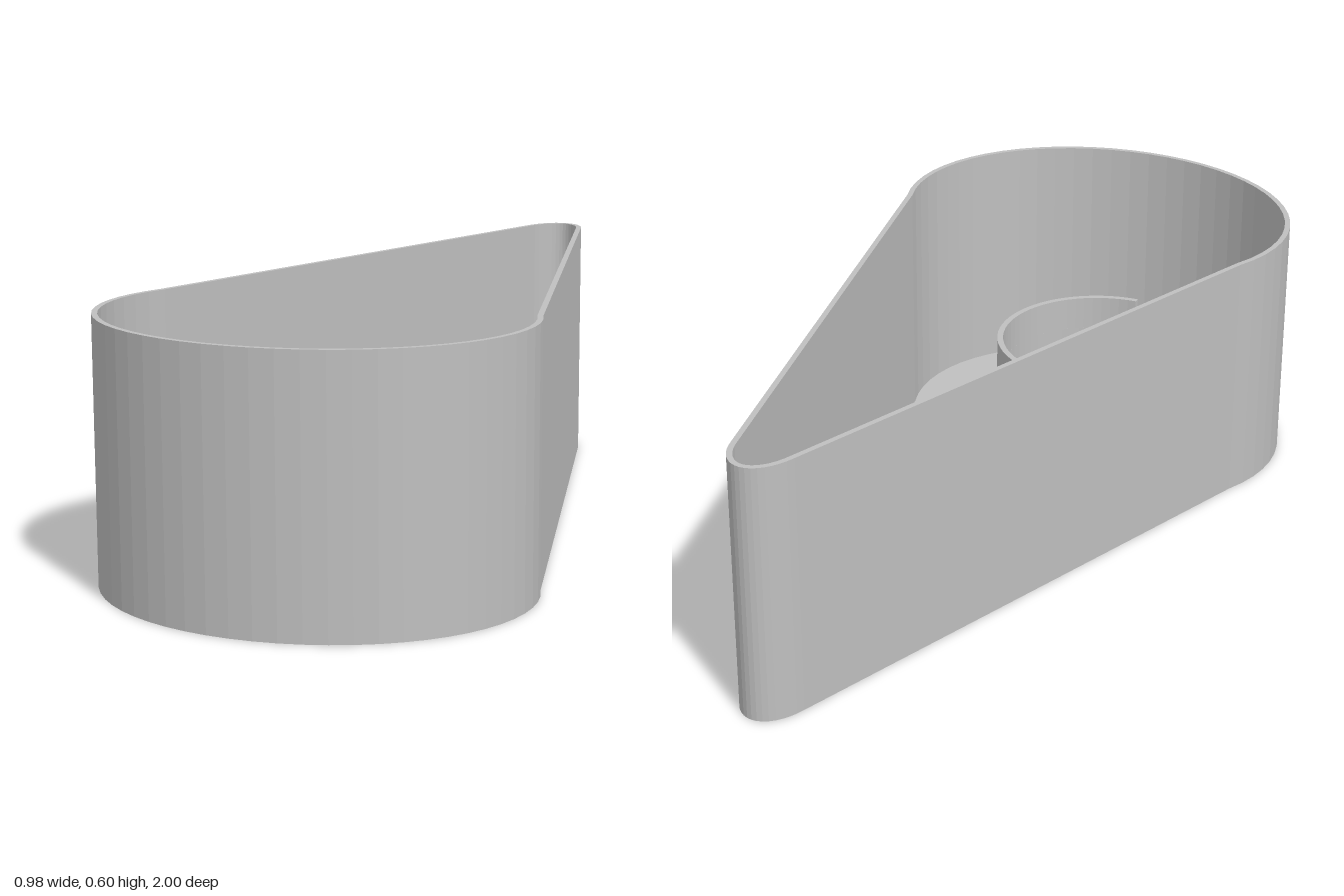
import * as THREE from 'three';

const HEIGHT = 0.6, WALL = 0.013, FLOOR = 0.02;
const COLLAR_Z = 0.61, COLLAR_IN = 0.25, COLLAR_OUT = 0.265;
const COLLAR_TOP = 0.23, NOTCH_BOTTOM = 0.145;
const MOUNT_TOP = 0.18;

// Teardrop outline in plan, counter-clockwise, with shape y = -z
function teardrop() {
  const pts = [];
  const arc = (cy, rx, ry, from, to, n) => {
    for (let i = 0; i <= n; i++) {
      const t = from + (to - from) * i / n;
      pts.push(new THREE.Vector2(rx * Math.cos(t), cy + ry * Math.sin(t)));
    }
  };
  arc(0.86, 0.083, 0.14, 0.404, Math.PI - 0.404, 16);
  arc(-0.57, 0.49, 0.425, Math.PI - 0.361, 2 * Math.PI + 0.361, 36);
  return pts;
}

// Move each outline point inwards along its averaged normal
function inset(pts, d) {
  const n = pts.length;
  return pts.map((p, i) => {
    const a = p.clone().sub(pts[(i + n - 1) % n]).normalize();
    const b = pts[(i + 1) % n].clone().sub(p).normalize();
    const t = a.add(b).normalize();
    return new THREE.Vector2(p.x - t.y * d, p.y + t.x * d);
  });
}

function circle(x, z, r) {
  return new THREE.Shape().absarc(x, -z, r, 0, Math.PI * 2, false);
}

// Raise a plan shape from y0 to y1
function raise(shape, y0, y1, curveSegments = 24) {
  const g = new THREE.ExtrudeGeometry(shape, { depth: y1 - y0, bevelEnabled: false, curveSegments });
  g.rotateX(-Math.PI / 2);
  g.translate(0, y0, 0);
  return g;
}

export function createModel() {
  const model = new THREE.Group();
  model.name = 'teardropHousing';
  const grey = new THREE.MeshStandardMaterial({ color: 0xbfbfbf });
  grey.name = 'grey plastic';

  const add = (name, geometry, parent = model) => {
    const mesh = new THREE.Mesh(geometry, grey);
    mesh.name = name;
    parent.add(mesh);
    return mesh;
  };

  // Outer wall and floor
  const outer = teardrop();
  const inner = inset(outer, WALL);
  const wall = new THREE.Shape(outer);
  wall.holes.push(new THREE.Path(inner));
  add('wall', raise(wall, 0, HEIGHT));

  const floor = new THREE.Shape(inner);
  floor.holes.push(circle(0, COLLAR_Z, COLLAR_OUT));
  add('floor', raise(floor, 0, FLOOR, 32));

  // Collar around the opening, notched at front and back
  const collar = new THREE.Group();
  collar.name = 'collar';
  model.add(collar);
  const ring = circle(0, COLLAR_Z, COLLAR_OUT);
  ring.holes.push(circle(0, COLLAR_Z, COLLAR_IN));
  add('collarBase', raise(ring, 0, NOTCH_BOTTOM, 32), collar);
  for (const start of [-Math.PI / 2, Math.PI / 2]) {
    const a = start + 0.08, b = start + Math.PI - 0.08;
    const half = new THREE.Shape();
    half.absarc(0, -COLLAR_Z, COLLAR_OUT, a, b, false);
    half.absarc(0, -COLLAR_Z, COLLAR_IN, b, a, true);
    add('collarRim', raise(half, NOTCH_BOTTOM, COLLAR_TOP, 16), collar);
  }

  // Cradle plates with a round cut-out on top
  const cradle = (z, halfWidth, thickness) => {
    const r = 0.135;
    const s = new THREE.Shape();
    s.moveTo(-halfWidth, FLOOR);
    s.lineTo(halfWidth, FLOOR);
    s.lineTo(halfWidth, MOUNT_TOP);
    s.lineTo(r, MOUNT_TOP);
    s.absarc(0, MOUNT_TOP, r, 0, -Math.PI, true);
    s.lineTo(-halfWidth, MOUNT_TOP);
    s.closePath();
    const g = new THREE.ExtrudeGeometry(s, { depth: thickness, bevelEnabled: false, curveSegments: 24 });
    g.translate(0, 0, z - thickness / 2);
    add('cradle', g);
  };
  cradle(-0.41, 0.165, 0.032);

  // Two cradles flanked by screw posts
  for (const z of [-0.18, 0.01]) {
    cradle(z, 0.15, 0.035);
    for (const side of [-1, 1]) {
      const post = circle(side * 0.193, z + (z > 0 ? -0.008 : 0), 0.047);
      post.holes.push(circle(side * 0.193, z + (z > 0 ? -0.008 : 0), 0.017));
      add('screwPost', raise(post, FLOOR, MOUNT_TOP, 12));
    }
  }
  return model;
}
